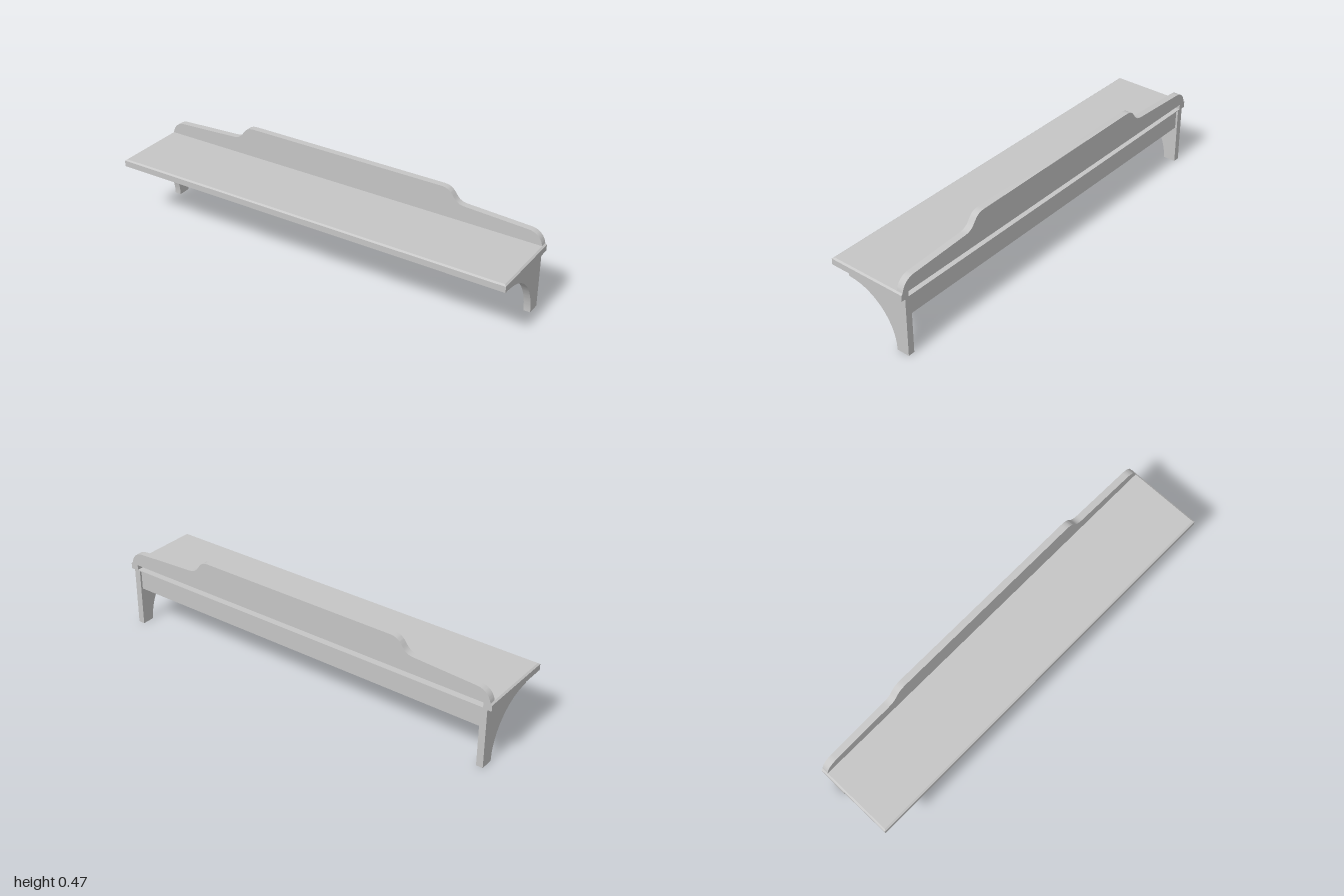
import * as THREE from 'three';
import { toCreasedNormals } from 'three/addons/utils/BufferGeometryUtils.js';

export function createModel() {
  const model = new THREE.Group();
  model.name = 'wallShelf';
  const paint = new THREE.MeshStandardMaterial({ color: 0xc6c6c6 });
  paint.name = 'pale grey paint';

  const add = (name, geometry, parent = model) => {
    const mesh = new THREE.Mesh(geometry, paint);
    mesh.name = name;
    parent.add(mesh);
    return mesh;
  };
  // Box given by its lower and upper limits on each axis
  const block = (x0, x1, y0, y1, z0, z1) =>
    new THREE.BoxGeometry(x1 - x0, y1 - y0, z1 - z0)
      .translate((x0 + x1) / 2, (y0 + y1) / 2, (z0 + z1) / 2);
  // Extrude a (z, y) outline along x, from x0 to x1
  const extrudeAlongX = (shape, x0, x1) => toCreasedNormals(
    new THREE.ExtrudeGeometry(shape, { depth: x1 - x0, bevelEnabled: false, curveSegments: 24 })
      .rotateY(-Math.PI / 2).translate(x1, 0, 0), 0.5);

  const back = -0.195, front = 0.195;

  // Shelf board: a slot runs along its back edge between two solid ends
  const board = new THREE.Group();
  board.name = 'shelfBoard';
  model.add(board);
  add('boardUnderside', block(-1, 1, 0.288, 0.292, back, front), board);
  add('boardCore', block(-1, 1, 0.292, 0.317, -0.163, front), board);
  for (const side of [-1, 1]) {
    add('boardEnd', block(side * 0.98 - 0.02, side * 0.98 + 0.02, 0.292, 0.317, back, -0.163), board);
  }

  // Top layer, bevelled on the front and both ends
  const top = block(-1, 1, 0.317, 0.323, back, front).toNonIndexed();
  const p = top.attributes.position;
  for (let i = 0; i < p.count; i++) {
    if (p.getY(i) < 0.32) continue;
    p.setX(i, Math.sign(p.getX(i)) * 0.992);
    if (p.getZ(i) > 0) p.setZ(i, 0.187);
  }
  top.computeVertexNormals();
  add('boardBevelledTop', top, board);

  // Scalloped back board, raised in the middle
  const crest = new THREE.Shape();
  crest.moveTo(-0.992, 0.323);
  crest.lineTo(0.992, 0.323);
  crest.bezierCurveTo(0.985, 0.36, 0.96, 0.383, 0.92, 0.384);
  crest.lineTo(0.62, 0.399);
  crest.bezierCurveTo(0.55, 0.402, 0.575, 0.467, 0.5, 0.467);
  crest.lineTo(-0.5, 0.467);
  crest.bezierCurveTo(-0.575, 0.467, -0.55, 0.402, -0.62, 0.399);
  crest.lineTo(-0.92, 0.384);
  crest.bezierCurveTo(-0.96, 0.383, -0.985, 0.36, -0.992, 0.323);
  add('backBoard', toCreasedNormals(
    new THREE.ExtrudeGeometry(crest, { depth: 0.032, bevelEnabled: false, curveSegments: 16 })
      .translate(0, 0, back), 0.5));

  // Rail under the board, bevelled along its lower front edge
  const rail = new THREE.Shape();
  rail.moveTo(-0.185, 0.19);
  rail.lineTo(-0.163, 0.19);
  rail.lineTo(-0.155, 0.2);
  rail.lineTo(-0.155, 0.288);
  rail.lineTo(-0.185, 0.288);
  rail.closePath();
  add('rail', extrudeAlongX(rail, -0.95, 0.95));

  // Pair of brackets with a quarter-round cutout
  const bracket = new THREE.Shape();
  bracket.moveTo(back, 0);
  bracket.lineTo(-0.132, 0);
  bracket.absarc(0.121, 0, 0.253, Math.PI, Math.PI / 2, true);
  bracket.lineTo(0.121, 0.288);
  bracket.lineTo(back, 0.288);
  bracket.closePath();
  add('leftBracket', extrudeAlongX(bracket, 0.948, 0.98));
  add('rightBracket', extrudeAlongX(bracket, -0.98, -0.948));

  return model;
}
